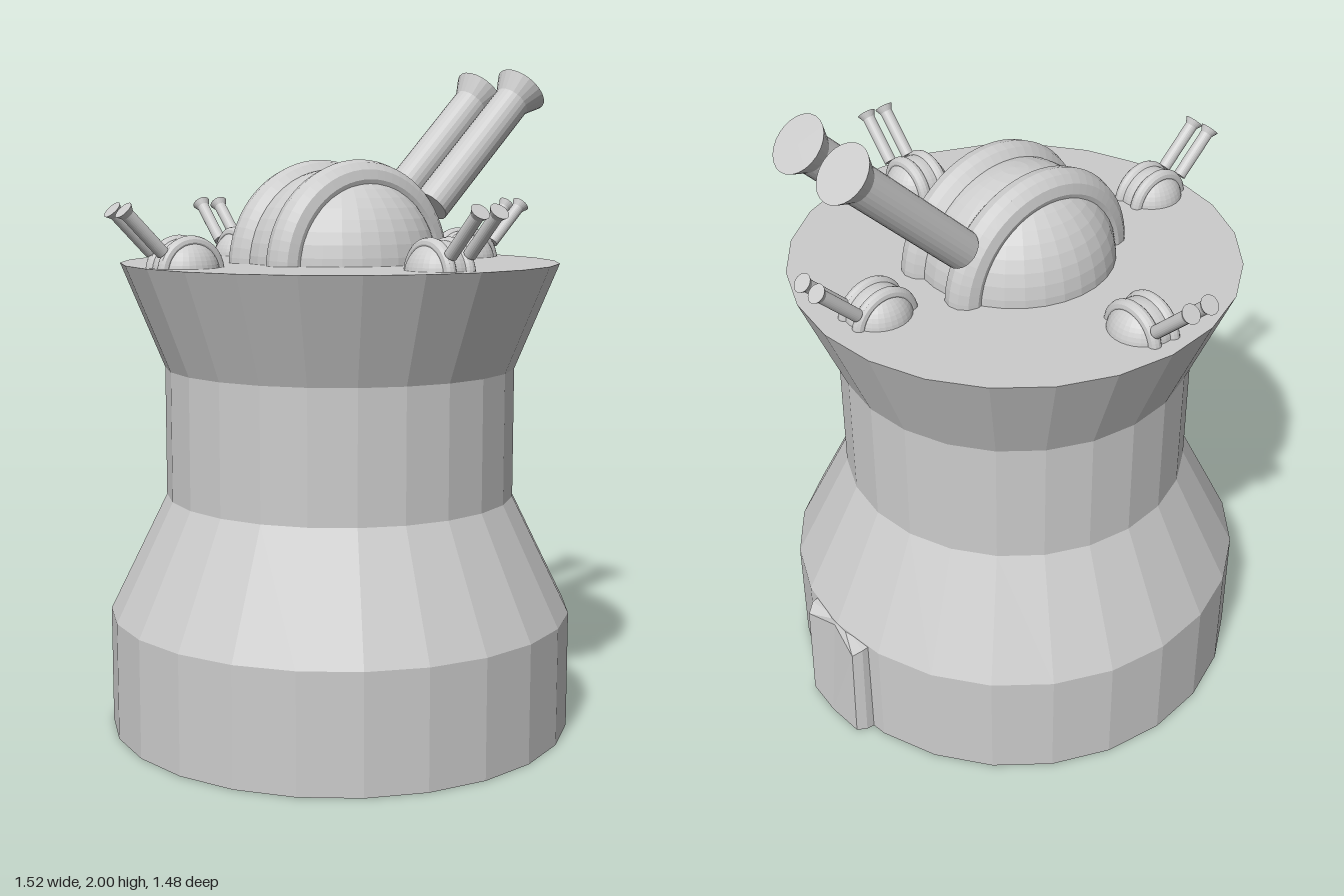
import * as THREE from 'three';

export function createModel() {
  const model = new THREE.Group();
  model.name = 'gunTower';
  const grey = new THREE.MeshStandardMaterial({ color: 0xcccccc, flatShading: true });
  grey.name = 'grey';

  function add(parent, name, geometry) {
    const mesh = new THREE.Mesh(geometry, grey);
    mesh.name = name;
    parent.add(mesh);
    return mesh;
  }

  // Tower body: wide foot, narrow waist, flared deck
  const profile = [[0, 0], [0.705, 0], [0.705, 0.355], [0.53, 0.71], [0.53, 1.1], [0.66, 1.415], [0, 1.415]]
    .map(([r, y]) => new THREE.Vector2(r, y));
  add(model, 'towerBody', new THREE.LatheGeometry(profile, 24)).position.x = 0.004;

  // Doorway on the +x side: z, bottom x, top x, top y
  const outline = [
    [0.138, 0.68, 0.68, 0.352], [0.135, 0.715, 0.71, 0.345], [0.118, 0.743, 0.737, 0.325],
    [0, 0.752, 0.718, 0.355],
    [-0.118, 0.743, 0.737, 0.325], [-0.135, 0.715, 0.71, 0.345], [-0.138, 0.68, 0.68, 0.352],
  ];
  const corners = [];
  for (let i = 0; i < outline.length - 1; i++) {
    const [z0, bx0, tx0, y0] = outline[i];
    const [z1, bx1, tx1, y1] = outline[i + 1];
    const b0 = [bx0, 0, z0], b1 = [bx1, 0, z1], t0 = [tx0, y0, z0], t1 = [tx1, y1, z1];
    corners.push(b0, b1, t1, b0, t1, t0); // wall
    corners.push([0.69, 0.355, 0], t0, t1); // roof
    corners.push([0.69, 0, 0], b1, b0); // underside
  }
  const door = new THREE.BufferGeometry();
  door.setAttribute('position', new THREE.Float32BufferAttribute(corners.flat(), 3));
  door.computeVertexNormals();
  add(model, 'doorway', door);

  // Turret: dome, two hoops and two flared barrels aimed up along +x
  function turret(name) {
    const group = new THREE.Group();
    group.name = name;
    add(group, 'dome', new THREE.SphereGeometry(0.295, 32, 12, 0, Math.PI * 2, 0, Math.PI / 2));
    const barrelProfile = [[0, 0], [0.057, 0], [0.057, 0.455], [0.085, 0.51], [0, 0.51]]
      .map(([r, y]) => new THREE.Vector2(r, y));
    for (const side of [1, -1]) {
      const hoop = add(group, 'hoop', new THREE.TorusGeometry(0.262, 0.058, 12, 32, Math.PI));
      hoop.position.z = side * 0.102;
      const barrel = add(group, 'barrel', new THREE.LatheGeometry(barrelProfile, 24));
      barrel.position.set(0.27, 0.18, side * 0.1);
      barrel.rotation.z = -Math.PI / 4;
    }
    return group;
  }

  const main = turret('mainTurret');
  main.position.set(0.003, 1.4, 0);
  model.add(main);

  // Four small turrets around the deck, each facing outward
  for (let i = 0; i < 4; i++) {
    const angle = i * Math.PI / 2;
    const small = turret('smallTurret');
    small.scale.setScalar(1 / 3);
    small.rotation.y = -angle;
    small.position.set(-0.022 + 0.511 * Math.cos(angle), 1.4, 0.511 * Math.sin(angle));
    model.add(small);
  }

  return model;
}
